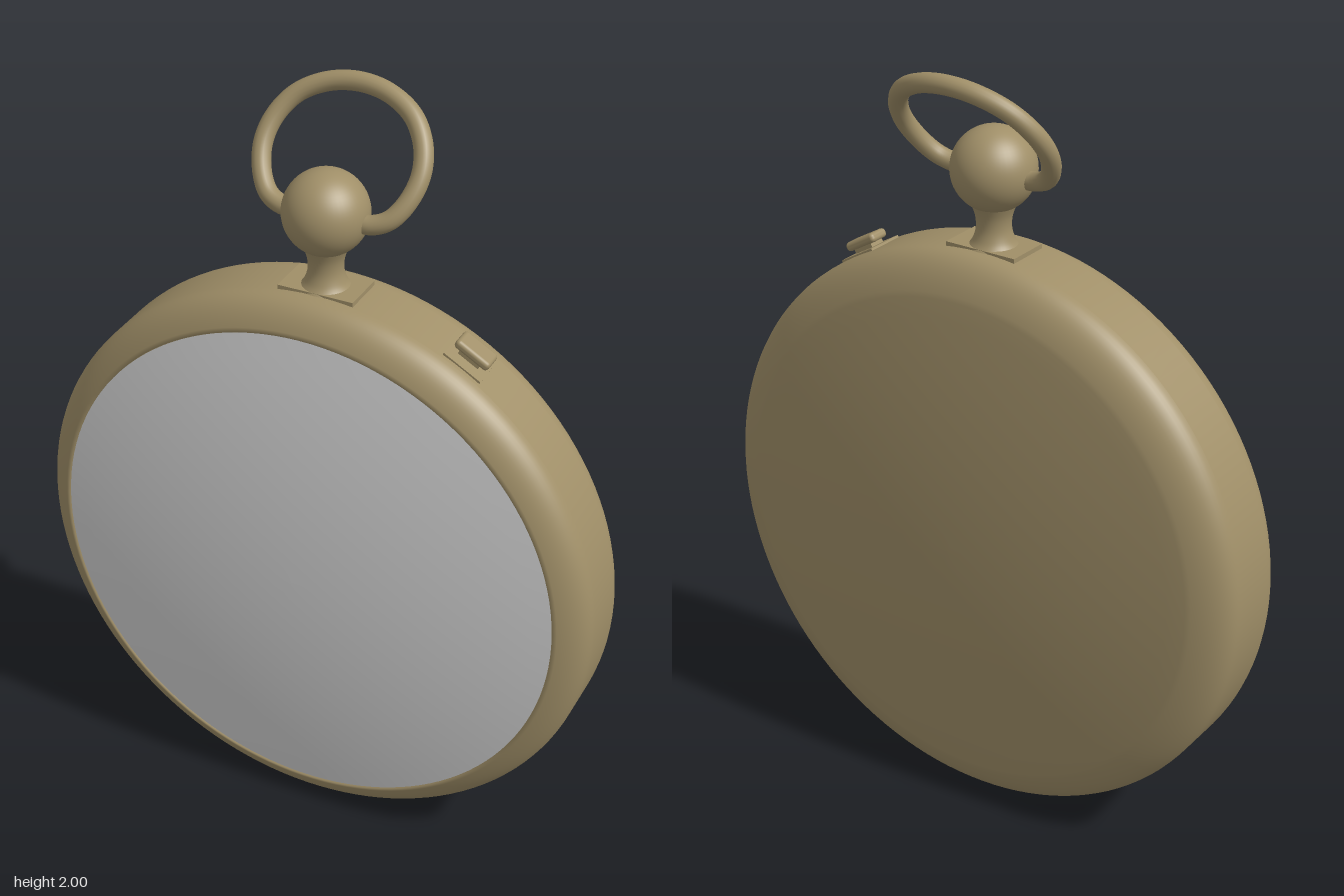
import * as THREE from 'three';
import { RoundedBoxGeometry } from 'three/addons/geometries/RoundedBoxGeometry.js';

export function createModel() {
  const model = new THREE.Group();
  const brass = new THREE.MeshStandardMaterial({ color: 0xa08f68, side: THREE.DoubleSide });
  brass.name = 'brass';
  const glass = new THREE.MeshStandardMaterial({ color: 0xd2d2d2, side: THREE.DoubleSide });
  glass.name = 'pale glass';

  const add = (name, geometry, material = brass, parent = model) => {
    const mesh = new THREE.Mesh(geometry, material);
    mesh.name = name;
    parent.add(mesh);
    return mesh;
  };
  const profile = (pts) => pts.map(([r, h]) => new THREE.Vector2(r, h));
  const CENTRE = 0.766, R = 0.762;

  // Case parts are turned around the z axis
  const watchCase = new THREE.Group();
  watchCase.name = 'case';
  watchCase.position.y = CENTRE;
  model.add(watchCase);
  const turned = (name, pts, material) =>
    add(name, new THREE.LatheGeometry(pts, 128).rotateX(Math.PI / 2), material, watchCase);

  // Shallow dome, from the centre (r = 0) out to its rim
  const dome = (rim, zRim, zTop, n = 14) => Array.from({ length: n + 1 }, (_, i) => {
    const t = i / n;
    return new THREE.Vector2(rim * t, zTop + (zRim - zTop) * t * t);
  });
  // Rounded shoulder between the dome rim and the band
  const shoulder = (r0, z0, r1, z1, n = 12) => new THREE.CubicBezierCurve(
    new THREE.Vector2(r0, z0),
    new THREE.Vector2(r0 + (r1 - r0) * 0.55, z0 + (z1 - z0) * 0.18),
    new THREE.Vector2(r1, z1 + (z0 - z1) * 0.5),
    new THREE.Vector2(r1, z1)).getPoints(n);

  turned('backCover', [...dome(0.66, -0.155, -0.205), ...shoulder(0.66, -0.155, R, -0.065).slice(1)]);
  turned('band', profile([[R, -0.065], [R, 0.065]]));
  turned('bezel', [...shoulder(0.684, 0.147, R, 0.065).reverse(), ...profile([[0.682, 0.135]])]);
  turned('crystal', dome(0.682, 0.144, 0.203).reverse(), glass);

  // Pendant: foot plate, flared neck and ball
  add('neckPlate', new THREE.BoxGeometry(0.2, 0.02, 0.12)).position.y = 1.523;
  const neck = new THREE.SplineCurve(profile(
    [[0.066, 1.525], [0.052, 1.545], [0.044, 1.575], [0.047, 1.61], [0.062, 1.65]]));
  add('neck', new THREE.LatheGeometry(neck.getPoints(20), 40));
  add('ball', new THREE.SphereGeometry(0.107, 48, 32)).position.y = 1.724;

  // Bow: open oval hoop leaning back, its ends turned into the ball
  const half = [[0.08, 1.714], [0.12, 1.716], [0.16, 1.733], [0.192, 1.775],
    [0.206, 1.83], [0.192, 1.885], [0.15, 1.935], [0.08, 1.968]];
  const at = (x, y) => new THREE.Vector3(x, y, -(y - 1.714) * 0.7);
  const bowPath = new THREE.CatmullRomCurve3([
    ...half.map(([x, y]) => at(x, y)),
    at(0, 1.979),
    ...half.map(([x, y]) => at(-x, y)).reverse()]);
  add('bow', new THREE.TubeGeometry(bowPath, 120, 0.024, 16, false));

  // Push piece on the upper left of the band
  const button = new THREE.Group();
  button.name = 'pushPiece';
  const angle = THREE.MathUtils.degToRad(30);
  button.position.set(Math.sin(angle) * R, CENTRE + Math.cos(angle) * R, 0);
  button.rotation.z = -angle;
  model.add(button);
  add('pushPieceBase', new THREE.BoxGeometry(0.11, 0.008, 0.11), brass, button);
  add('pushPieceStem', new THREE.BoxGeometry(0.06, 0.03, 0.045), brass, button).position.y = 0.012;
  add('pushPieceCap', new RoundedBoxGeometry(0.1, 0.024, 0.06, 3, 0.01), brass, button).position.y = 0.026;

  return model;
}
